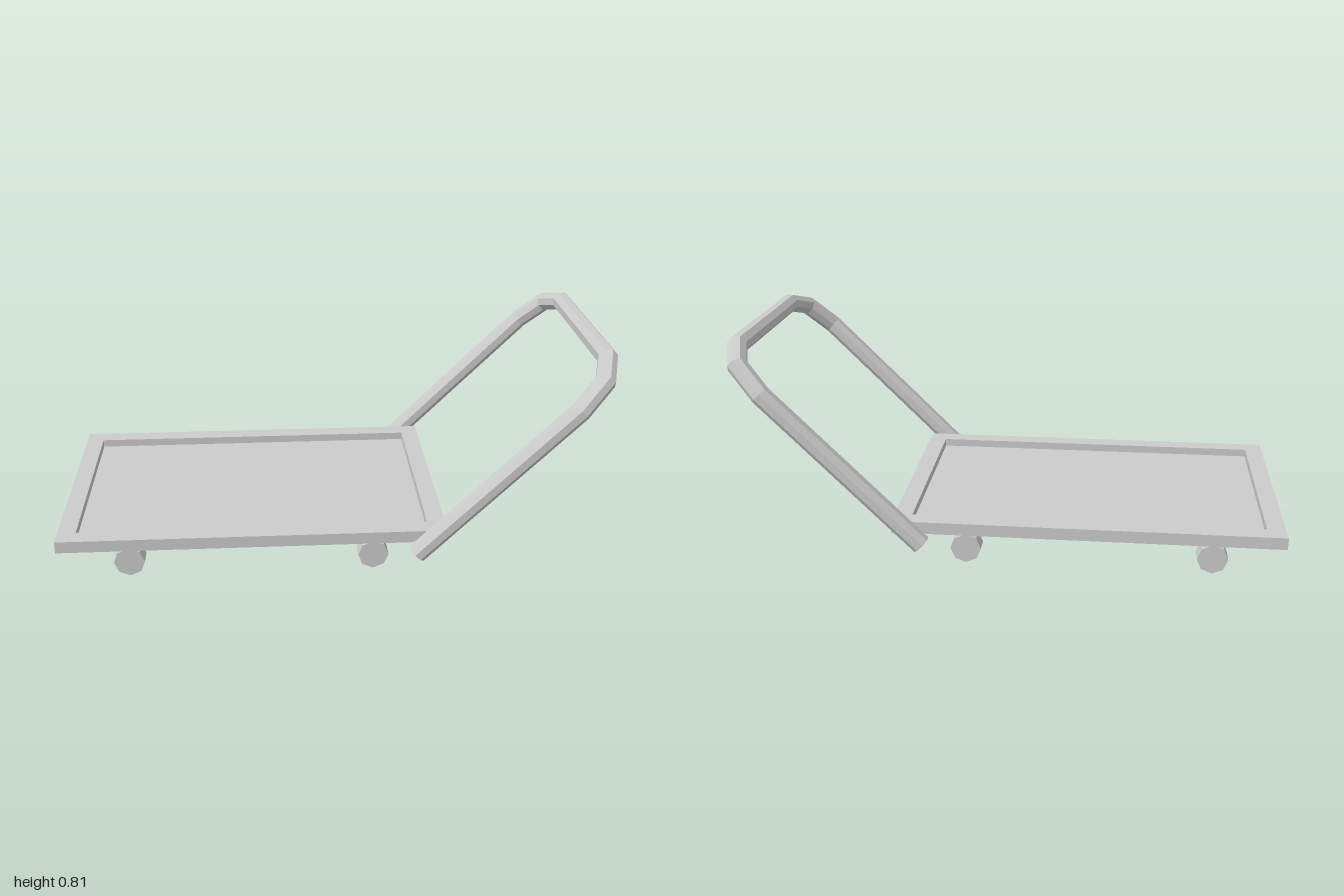
import * as THREE from 'three';

// Skins a list of equal-sized rings with flat facets; optional fan caps at the ends.
function loft(rings, capStart, capEnd) {
  const pos = [];
  const tri = (...pts) => pts.forEach((p) => pos.push(p.x, p.y, p.z));
  const n = rings[0].length;
  for (let i = 0; i < rings.length - 1; i++) {
    for (let j = 0; j < n; j++) {
      const k = (j + 1) % n;
      const a = rings[i][j], b = rings[i][k], c = rings[i + 1][k], d = rings[i + 1][j];
      tri(a, b, c);
      tri(a, c, d);
    }
  }
  const first = rings[0], last = rings[rings.length - 1];
  for (let j = 1; j < n - 1; j++) {
    if (capStart) tri(first[0], first[j + 1], first[j]);
    if (capEnd) tri(last[0], last[j], last[j + 1]);
  }
  const geometry = new THREE.BufferGeometry();
  geometry.setAttribute('position', new THREE.Float32BufferAttribute(pos, 3));
  geometry.computeVertexNormals();
  return geometry;
}

// Pressed tray: outer skirt, flat rim, recess wall and sunken floor, open underneath.
function deckGeometry() {
  const rect = (hx, hz, y) => [[-1, 1], [1, 1], [1, -1], [-1, -1]]
    .map(([sx, sz]) => new THREE.Vector3(-0.294 + sx * hx, y, sz * hz));
  return loft([
    rect(0.706, 0.448, 0.125),
    rect(0.706, 0.448, 0.17),
    rect(0.639, 0.384, 0.17),
    rect(0.639, 0.384, 0.14),
  ], false, true);
}

// Bent octagonal push bar, leaning back at 45 degrees with mitred bends.
function handleGeometry() {
  const half = [[0.482, 0], [0.482, 0.775], [0.436, 0.902], [0.317, 0.957]]; // z, distance up the slope
  const path = [...half, ...half.map(([z, u]) => [-z, u]).reverse()]
    .map(([z, u]) => new THREE.Vector2(z, u));
  const slope = new THREE.Vector3(1, 1, 0).normalize();
  const normal = new THREE.Vector3(1, -1, 0).normalize();
  const base = new THREE.Vector3(0.296, 0.099, 0);
  const radius = 0.0335 / Math.cos(Math.PI / 8);

  const side = (a, b) => {
    const d = b.clone().sub(a).normalize();
    return new THREE.Vector2(d.y, -d.x);
  };
  const rings = path.map((p, i) => {
    const s1 = i > 0 ? side(path[i - 1], p) : side(p, path[i + 1]);
    const s2 = i < path.length - 1 ? side(p, path[i + 1]) : s1;
    const mitre = s1.clone().add(s2).divideScalar(1 + s1.dot(s2));
    return Array.from({ length: 8 }, (_, j) => {
      const t = (j + 0.5) * Math.PI / 4;
      const q = p.clone().addScaledVector(mitre, radius * Math.cos(t));
      return base.clone()
        .addScaledVector(slope, q.y)
        .addScaledVector(normal, radius * Math.sin(t))
        .add(new THREE.Vector3(0, 0, q.x));
    });
  });
  return loft(rings, true, true);
}

export function createModel() {
  const group = new THREE.Group();
  group.name = 'platformTrolley';
  const material = new THREE.MeshStandardMaterial({ color: 0xcccccc, flatShading: true });
  const sheet = material.clone();
  sheet.side = THREE.DoubleSide;

  const add = (name, geometry, mat = material) => {
    const mesh = new THREE.Mesh(geometry, mat);
    mesh.name = name;
    group.add(mesh);
    return mesh;
  };

  add('deck', deckGeometry(), sheet);
  add('handle', handleGeometry());

  // Four octagonal wheels
  const wheel = new THREE.CylinderGeometry(0.056, 0.056, 0.063, 8).rotateX(Math.PI / 2);
  for (const [end, x] of [['rear', 0.146], ['lead', -0.746]]) {
    for (const [sideName, s] of [['Front', 1], ['Back', -1]]) {
      add(`${end}${sideName}Wheel`, wheel).position.set(x, 0.056, s * 0.381);
    }
  }
  return group;
}
